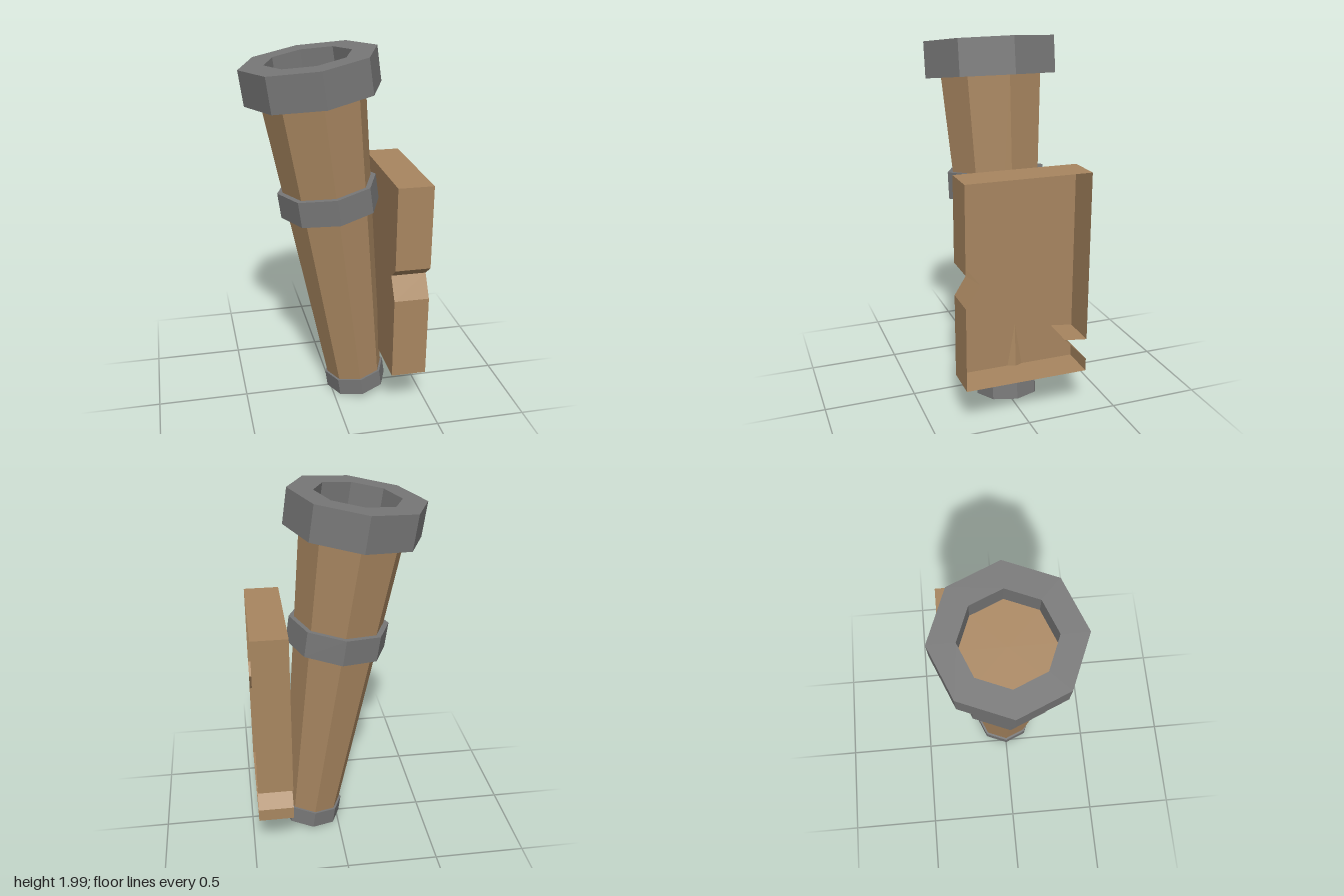
import * as THREE from 'three';

const wood = new THREE.MeshStandardMaterial({ name: 'wood', color: 0xa88660, flatShading: true });
const iron = new THREE.MeshStandardMaterial({ name: 'iron', color: 0x777777, flatShading: true });
const board = new THREE.MeshStandardMaterial({ name: 'boardWood', color: 0xa88660, flatShading: true, side: THREE.DoubleSide });

const SIDES = 8;

// Octagonal section standing between two heights along the torch axis
function section(name, rTop, rBottom, y0, y1, material) {
  const geo = new THREE.CylinderGeometry(rTop, rBottom, y1 - y0, SIDES);
  geo.translate(0, (y0 + y1) / 2, 0);
  const mesh = new THREE.Mesh(geo, material);
  mesh.name = name;
  return mesh;
}

// Tilted torch: shaft, end cap, band and hollow rim
function createTorch() {
  const torch = new THREE.Group();
  torch.name = 'torch';
  torch.add(
    section('shaft', 0.281, 0.158, 0.05, 1.795, wood),
    section('endCap', 0.174, 0.174, 0, 0.097, iron),
    section('band', 0.272, 0.272, 1.116, 1.257, iron)
  );
  const profile = [[0.228, 1.752], [0.361, 1.752], [0.361, 1.939], [0.228, 1.939], [0.228, 1.752]]
    .map(([r, y]) => new THREE.Vector2(r, y));
  const rim = new THREE.Mesh(new THREE.LatheGeometry(profile, SIDES), iron);
  rim.name = 'rim';
  torch.add(rim);
  torch.position.set(0.155, 0.03, 0);
  torch.rotation.z = THREE.MathUtils.degToRad(8);
  return torch;
}

// Wall board: a notched panel with side walls, open towards the wall
function createBoard() {
  const x0 = 0.278, x1 = 0.47;
  const outline = [
    [0.335, 0.24], [0.335, 0.70], [0.26, 0.82], [0.335, 0.88], [0.335, 1.34],
    [-0.335, 1.34], [-0.335, 0.425], [-0.21, 0.44], [-0.335, 0.31], [-0.335, 0.24]
  ];
  const group = new THREE.Group();
  group.name = 'wallBoard';

  const shape = new THREE.Shape(outline.map(([z, y]) => new THREE.Vector2(z, y)));
  const panelGeo = new THREE.ShapeGeometry(shape);
  panelGeo.rotateY(-Math.PI / 2);
  panelGeo.translate(x0, 0, 0);
  const panel = new THREE.Mesh(panelGeo, board);
  panel.name = 'boardPanel';

  // One quad per outline edge
  const pos = [];
  outline.forEach(([z, y], i) => {
    const [zn, yn] = outline[(i + 1) % outline.length];
    pos.push(x0, y, z, x1, y, z, x1, yn, zn, x0, y, z, x1, yn, zn, x0, yn, zn);
  });
  const wallGeo = new THREE.BufferGeometry();
  wallGeo.setAttribute('position', new THREE.Float32BufferAttribute(pos, 3));
  wallGeo.computeVertexNormals();
  const walls = new THREE.Mesh(wallGeo, board);
  walls.name = 'boardEdges';

  group.add(panel, walls);
  return group;
}

export function createModel() {
  const model = new THREE.Group();
  model.name = 'wallTorch';
  model.add(createTorch(), createBoard());
  return model;
}
